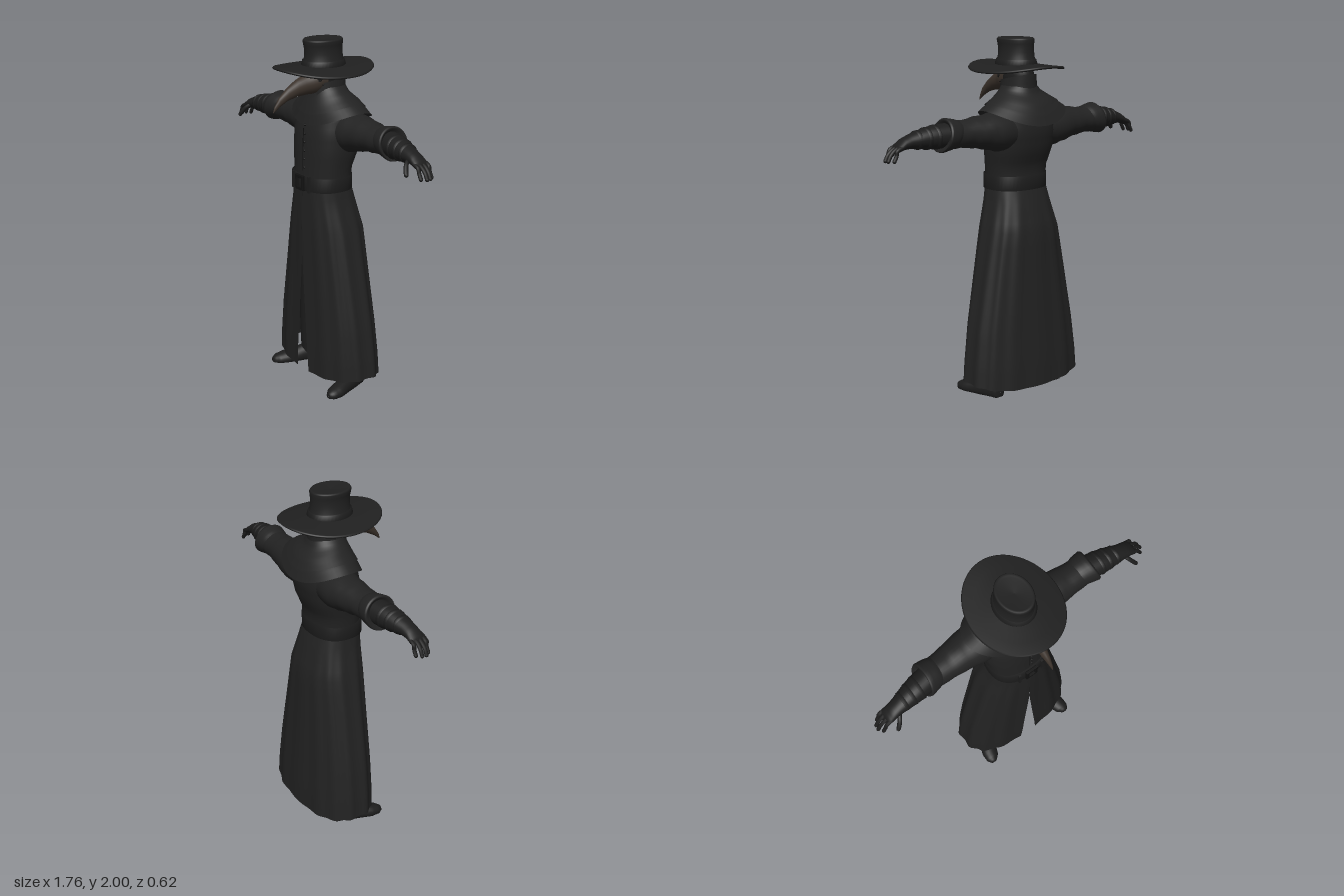
import * as THREE from 'three';

const mat = (name, color, side = THREE.FrontSide) => {
  const m = new THREE.MeshStandardMaterial({ color, side });
  m.name = name;
  return m;
};

// Lofts elliptical rings along an axis (0 x, 1 y, 2 z).
// Each row: [position, centre1, centre2, radius1, radius2] on the next two axes in cyclic order.
function loft(axis, rows, { nu = 32, sub = 3, p = 1, gap = null, mod = null } = {}) {
  const pos = [], idx = [], nv = (rows.length - 1) * sub;
  const cols = gap ? nu + 1 : nu;
  const pw = (c) => Math.sign(c) * Math.abs(c) ** p;
  for (let j = 0; j <= nv; j++) {
    const k = Math.min(Math.floor(j / sub), rows.length - 2), f = j / sub - k;
    const [t, c1, c2, r1, r2] = rows[k].map((a, i) => a + (rows[k + 1][i] - a) * f);
    const g = gap ? gap(t, r2) : 0;
    for (let i = 0; i < cols; i++) {
      const a = g + (2 * Math.PI - 2 * g) * i / nu;
      const v = new THREE.Vector3();
      v.setComponent(axis, t);
      v.setComponent((axis + 1) % 3, c1 + r1 * pw(Math.cos(a)));
      v.setComponent((axis + 2) % 3, c2 + r2 * pw(Math.sin(a)));
      if (mod) mod(v, a, j / nv);
      pos.push(v.x, v.y, v.z);
    }
  }
  for (let j = 0; j < nv; j++) for (let i = 0; i < nu; i++) {
    const a = j * cols + i, b = j * cols + (i + 1) % cols;
    idx.push(a, b, b + cols, a, b + cols, a + cols);
  }
  const geo = new THREE.BufferGeometry();
  geo.setAttribute('position', new THREE.Float32BufferAttribute(pos, 3));
  geo.setIndex(idx);
  geo.computeVertexNormals();
  return geo;
}

// Mirrored copy across x, with corner order restored
function mirror(geo) {
  const g = geo.clone().scale(-1, 1, 1), ix = g.index.array;
  for (let i = 0; i < ix.length; i += 3) [ix[i], ix[i + 1]] = [ix[i + 1], ix[i]];
  return g;
}

export function createModel() {
  const root = new THREE.Group();
  root.name = 'maskedPhysician';
  const coat = mat('coatCloth', 0x222222, THREE.DoubleSide);
  const leather = mat('darkLeather', 0x1d1d1d);
  const felt = mat('hatFelt', 0x202020);
  const bone = mat('maskLeather', 0x3b322b);
  const dark = mat('darkTrim', 0x121212);

  const add = (name, geo, m) => {
    const mesh = new THREE.Mesh(geo, m);
    mesh.name = name;
    root.add(mesh);
    return mesh;
  };
  const pair = (name, geo, m) => {
    add(name + 'Left', geo, m);
    add(name + 'Right', mirror(geo), m);
  };

  // Coat skirt, slit at the front and gently pleated
  add('coatSkirt', loft(1, [
    [0.07, -0.063, 0, 0.188, 0.37], [0.2, -0.06, 0, 0.187, 0.36], [0.4, -0.055, 0, 0.18, 0.335],
    [0.7, -0.048, 0, 0.172, 0.278], [0.95, -0.042, 0, 0.168, 0.228], [1.1, -0.025, 0, 0.15, 0.188],
    [1.2, -0.012, 0, 0.135, 0.17]], {
    nu: 96, p: 0.8,
    gap: (y, w) => Math.asin((Math.max(0.001, 0.055 * (0.78 - y) / 0.7) / w) ** 1.25),
    mod: (v, a, t) => {
      const s = 1 + 0.018 * Math.min(1, 2.5 * (1 - t)) * Math.cos(14 * a);
      v.x *= s;
      v.z = -0.05 + (v.z + 0.05) * s;
      v.y += (1 - t) ** 6 * (0.025 * Math.sin(a) ** 2 - 0.012 * Math.max(0, -Math.cos(a)));
    } }), coat);

  // Torso
  add('coatTorso', loft(1, [
    [1.18, -0.012, 0, 0.135, 0.17], [1.3, -0.017, 0, 0.137, 0.18], [1.4, -0.038, 0, 0.157, 0.196],
    [1.5, -0.052, 0, 0.165, 0.2], [1.6, -0.06, 0, 0.155, 0.185], [1.68, -0.05, 0, 0.11, 0.13],
    [1.75, -0.04, 0, 0.08, 0.08]], { nu: 48, p: 0.85 }), coat);

  // Two-tier shoulder cape, hem lower at front and back
  const drape = (d) => (v, a, t) => { v.y -= d * (1 - t) * Math.cos(a) ** 2; };
  add('capeLower', loft(1, [
    [1.625, -0.075, 0, 0.187, 0.272], [1.665, -0.07, 0, 0.165, 0.205],
    [1.7, -0.055, 0, 0.125, 0.135], [1.735, -0.045, 0, 0.1, 0.1]],
  { nu: 48, mod: drape(0.085) }), coat);
  add('capeUpper', loft(1, [
    [1.66, -0.07, 0, 0.172, 0.222], [1.69, -0.065, 0, 0.15, 0.165],
    [1.72, -0.05, 0, 0.115, 0.12], [1.745, -0.045, 0, 0.1, 0.095]],
  { nu: 48, mod: drape(0.06) }), coat);

  // Standing collar, open at the front
  add('collar', loft(1, [
    [1.66, -0.045, 0, 0.11, 0.11], [1.72, -0.04, 0, 0.11, 0.095], [1.785, -0.04, 0, 0.115, 0.088]],
  { gap: (y) => 0.3 + (y - 1.66) * 3, mod: (v, a, t) => { v.y -= 0.025 * t * Math.cos(a); } }), coat);

  // Belt, keepers and buckle
  add('belt', loft(1, [
    [1.175, -0.01, 0, 0.13, 0.165], [1.175, -0.01, 0, 0.147, 0.18], [1.255, -0.01, 0, 0.147, 0.18],
    [1.255, -0.01, 0, 0.13, 0.165]], { nu: 48, p: 0.85, sub: 1 }), leather);
  const frame = new THREE.Shape().moveTo(-0.035, -0.04).lineTo(0.035, -0.04).lineTo(0.035, 0.04).lineTo(-0.035, 0.04);
  frame.holes.push(new THREE.Path().moveTo(-0.022, -0.027).lineTo(-0.022, 0.027).lineTo(0.022, 0.027).lineTo(0.022, -0.027));
  add('buckle', new THREE.ExtrudeGeometry(frame, { depth: 0.01, bevelSize: 0.003, bevelThickness: 0.003, bevelSegments: 1 })
    .translate(0, 1.215, 0.134), dark);
  pair('beltKeeper', new THREE.BoxGeometry(0.014, 0.094, 0.012).translate(0.075, 1.215, 0.132), leather);

  // Coat buttons and seams
  for (let i = 0; i < 6; i++) {
    add('button', new THREE.SphereGeometry(0.007, 10, 8).translate(0.015, 1.3 + i * 0.048, 0.12 - 0.0012 * i), dark);
  }
  const seam = (pts) => new THREE.TubeGeometry(
    new THREE.CatmullRomCurve3(pts.map((q) => new THREE.Vector3(...q))), 24, 0.003, 5);
  add('frontSeam', seam([[0, 1.28, 0.119], [0, 1.4, 0.119], [0, 1.52, 0.112]]), dark);

  // Sleeves, turned cuffs and gloves
  pair('sleeve', loft(0, [
    [0.08, 1.51, -0.075, 0.1, 0.11], [0.2, 1.508, -0.085, 0.108, 0.115], [0.3, 1.515, -0.085, 0.09, 0.1],
    [0.4, 1.517, -0.08, 0.075, 0.086], [0.52, 1.517, -0.078, 0.07, 0.08]],
  { mod: (v, a) => { v.y += 0.003 * Math.sin(60 * v.x + 2 * a); } }), coat);
  pair('cuff', loft(0, [
    [0.46, 1.52, -0.08, 0.068, 0.078], [0.49, 1.52, -0.08, 0.08, 0.088], [0.54, 1.52, -0.077, 0.09, 0.096],
    [0.552, 1.518, -0.076, 0.084, 0.09], [0.535, 1.515, -0.073, 0.055, 0.06]],
  { mod: (v, a) => { v.x -= 0.02 * Math.cos(a); } }), coat);
  pair('glove', loft(0, [
    [0.52, 1.517, -0.073, 0.066, 0.07], [0.6, 1.515, -0.062, 0.062, 0.068], [0.67, 1.51, -0.053, 0.05, 0.058],
    [0.73, 1.503, -0.045, 0.037, 0.047], [0.77, 1.493, -0.042, 0.03, 0.045], [0.805, 1.475, -0.042, 0.022, 0.046],
    [0.825, 1.462, -0.042, 0.002, 0.03]]), leather);
  for (const [x, y, z, r] of [[0.59, 1.515, -0.063, 0.066], [0.64, 1.512, -0.057, 0.06], [0.69, 1.508, -0.05, 0.051]]) {
    pair('gloveStrap', loft(0, [
      [x - 0.012, y, z, r - 0.012, r - 0.006], [x - 0.009, y, z, r, r + 0.005],
      [x + 0.009, y, z, r - 0.002, r + 0.003], [x + 0.012, y, z, r - 0.014, r - 0.008]], { sub: 1 }), leather);
  }
  const finger = (name, pts, r) => {
    const c = new THREE.CatmullRomCurve3(pts.map((q) => new THREE.Vector3(...q)));
    pair(name, new THREE.TubeGeometry(c, 10, r, 8), leather);
    pair(name + 'Tip', new THREE.SphereGeometry(r, 8, 6).translate(...pts[pts.length - 1]), leather);
  };
  [0.845, 0.865, 0.868, 0.85].forEach((x, i) => {
    const z = -0.078 + i * 0.024;
    finger('finger', [[0.79, 1.483, z], [0.825, 1.467, z], [x - 0.015, 1.443, z], [x, 1.415, z]], 0.0105);
  });
  finger('thumb', [[0.735, 1.495, -0.02], [0.755, 1.475, 0.012], [0.772, 1.45, 0.028], [0.785, 1.43, 0.036]], 0.012);

  // Head and beaked mask
  add('hood', new THREE.SphereGeometry(1, 28, 20).scale(0.078, 0.105, 0.105).translate(0, 1.79, -0.035), leather);
  add('beak', loft(2, [
    [0.0, 0, 1.785, 0.076, 0.075], [0.05, 0, 1.775, 0.07, 0.07], [0.1, 0, 1.76, 0.05, 0.055],
    [0.16, 0, 1.745, 0.036, 0.045], [0.22, 0, 1.718, 0.024, 0.034], [0.27, 0, 1.682, 0.014, 0.025],
    [0.3, 0, 1.648, 0.006, 0.014], [0.31, 0, 1.63, 0.001, 0.002]], { nu: 24 }), bone);
  const eyeAt = (g) => g.rotateY(0.85).translate(0.06, 1.802, 0.058);
  pair('eyeRim', eyeAt(new THREE.TorusGeometry(0.021, 0.005, 8, 20)), leather);
  pair('eyeLens', eyeAt(new THREE.CylinderGeometry(0.02, 0.02, 0.008, 20).rotateX(Math.PI / 2)), dark);
  pair('maskStrap', seam([[0.068, 1.76, 0.04], [0.079, 1.765, -0.03], [0.062, 1.77, -0.1]]), dark);

  // Wide-brimmed hat
  add('hatBrim', loft(1, [
    [1.845, -0.02, 0, 0.02, 0.02], [1.832, -0.02, 0, 0.285, 0.24], [1.838, -0.02, 0, 0.291, 0.246],
    [1.846, -0.02, 0, 0.285, 0.24], [1.86, -0.02, 0, 0.1, 0.09]],
  { nu: 56, mod: (v, a) => { v.y += 0.22 * Math.cos(2 * a) * (v.x ** 2 + (v.z + 0.02) ** 2); } }), felt);
  add('hatCrown', loft(1, [
    [1.845, -0.02, 0, 0.128, 0.108], [1.9, -0.02, 0, 0.112, 0.092], [1.95, -0.018, 0, 0.112, 0.087],
    [1.99, -0.016, 0, 0.118, 0.093], [2.0, -0.016, 0, 0.112, 0.087], [1.997, -0.016, 0, 0.09, 0.068],
    [1.99, -0.016, 0, 0.001, 0.001]], { nu: 40, sub: 2 }), felt);
  add('hatBand', loft(1, [
    [1.85, -0.02, 0, 0.12, 0.1], [1.852, -0.02, 0, 0.131, 0.11], [1.885, -0.02, 0, 0.122, 0.101],
    [1.886, -0.02, 0, 0.11, 0.09]], { nu: 40, sub: 1 }), leather);

  // Trouser legs and boots, toes turned out
  pair('leg', loft(1, [
    [0.04, -0.08, 0.22, 0.055, 0.048], [0.3, -0.07, 0.195, 0.07, 0.06], [0.9, -0.04, 0.1, 0.09, 0.085]],
  { nu: 20 }), leather);
  pair('boot', loft(2, [
    [-0.14, 0.213, 0.03, 0.001, 0.001], [-0.135, 0.214, 0.035, 0.034, 0.05], [-0.08, 0.222, 0.035, 0.046, 0.065],
    [0.0, 0.245, 0.025, 0.048, 0.052], [0.07, 0.268, 0.018, 0.053, 0.042], [0.12, 0.279, 0.015, 0.042, 0.032],
    [0.145, 0.284, 0.012, 0.02, 0.02], [0.15, 0.285, 0.012, 0.001, 0.001]],
  { nu: 24, mod: (v) => { v.y = Math.max(0, v.y); } }), leather);

  return root;
}
